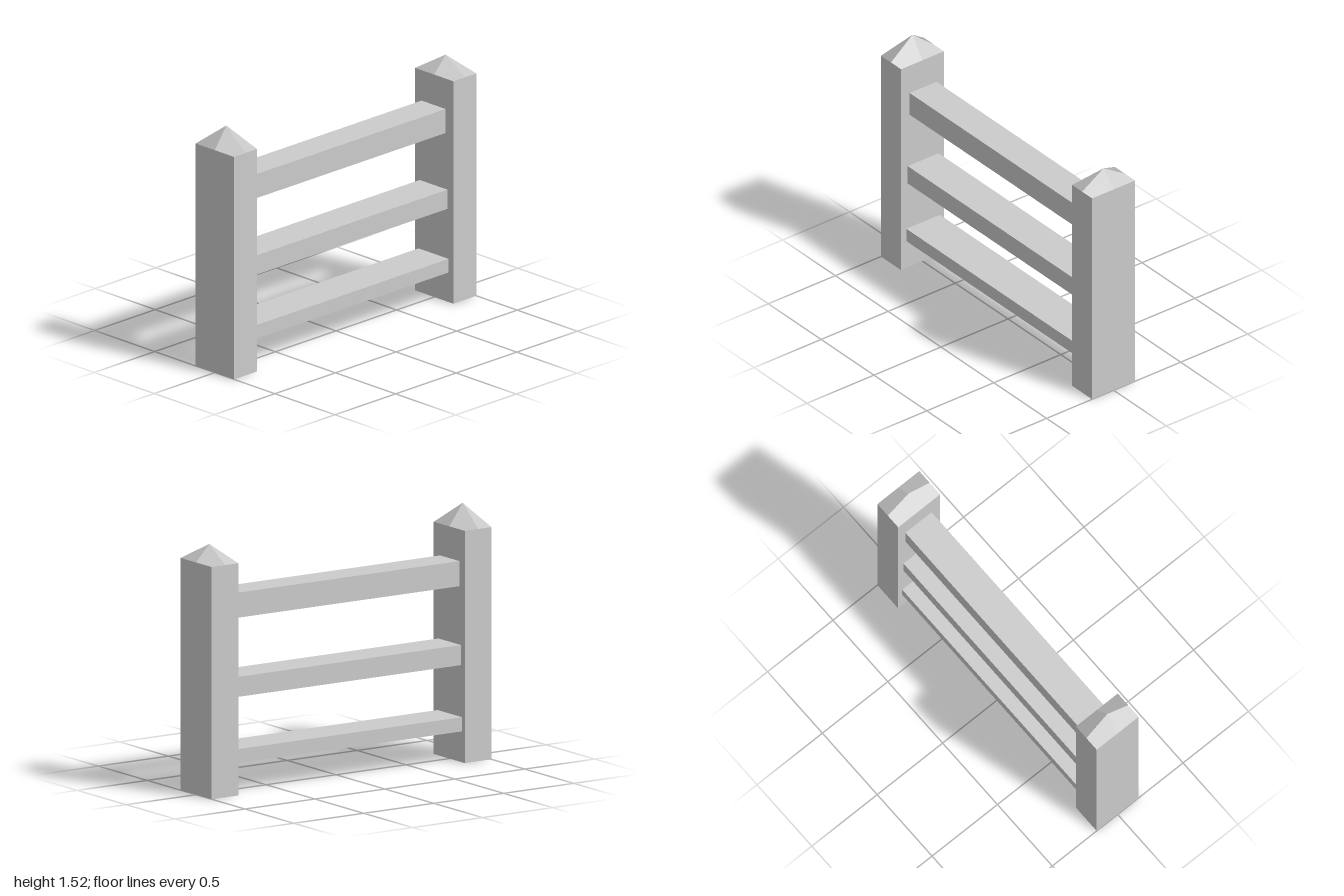
import * as THREE from 'three';

const material = new THREE.MeshStandardMaterial({ color: 0xcccccc });

// Box given by its lower and upper corners
function block(name, [x0, y0, z0], [x1, y1, z1]) {
  const mesh = new THREE.Mesh(new THREE.BoxGeometry(x1 - x0, y1 - y0, z1 - z0), material);
  mesh.position.set((x0 + x1) / 2, (y0 + y1) / 2, (z0 + z1) / 2);
  mesh.name = name;
  return mesh;
}

// Pointed cap made of four quarter facets, each shaded with a single normal
function pointedCap(name, halfWidth, halfDepth, height) {
  const positions = [], normals = [];
  const apex = new THREE.Vector3(0, height, 0);
  for (const [sx, sz] of [[1, 1], [1, -1], [-1, -1], [-1, 1]]) {
    const corner = new THREE.Vector3(sx * halfWidth, 0, sz * halfDepth);
    let a = new THREE.Vector3(0, 0, sz * halfDepth);
    let b = new THREE.Vector3(sx * halfWidth, 0, 0);
    if (sx * sz < 0) [a, b] = [b, a];
    const normal = corner.clone().sub(apex).cross(b.clone().sub(a)).normalize();
    for (const p of [apex, a, corner, apex, corner, b]) {
      positions.push(p.x, p.y, p.z);
      normals.push(normal.x, normal.y, normal.z);
    }
  }
  const geometry = new THREE.BufferGeometry();
  geometry.setAttribute('position', new THREE.Float32BufferAttribute(positions, 3));
  geometry.setAttribute('normal', new THREE.Float32BufferAttribute(normals, 3));
  const mesh = new THREE.Mesh(geometry, material);
  mesh.name = name;
  return mesh;
}

export function createModel() {
  const fence = new THREE.Group();
  fence.name = 'fenceSection';

  // Posts with pointed caps; the left cap is slightly lower
  const postTop = 1.39, halfWidth = 0.095, halfDepth = 0.16;
  for (const [side, x, capHeight] of [['left', 0.905, 0.1], ['right', -0.905, 0.13]]) {
    fence.add(block(side + 'Post',
      [x - halfWidth, 0, -halfDepth], [x + halfWidth, postTop, halfDepth]));
    const cap = pointedCap(side + 'PostCap', halfWidth, halfDepth, capHeight);
    cap.position.set(x, postTop, 0);
    fence.add(cap);
  }

  // Rails: thinner and deeper towards the ground
  const rails = [
    ['topRail', 1.05, 1.2, -0.105, 0.095],
    ['middleRail', 0.58, 0.7, -0.12, 0.11],
    ['bottomRail', 0.185, 0.27, -0.13, 0.12],
  ];
  for (const [name, y0, y1, z0, z1] of rails) {
    fence.add(block(name, [-0.81, y0, z0], [0.81, y1, z1]));
  }
  return fence;
}
